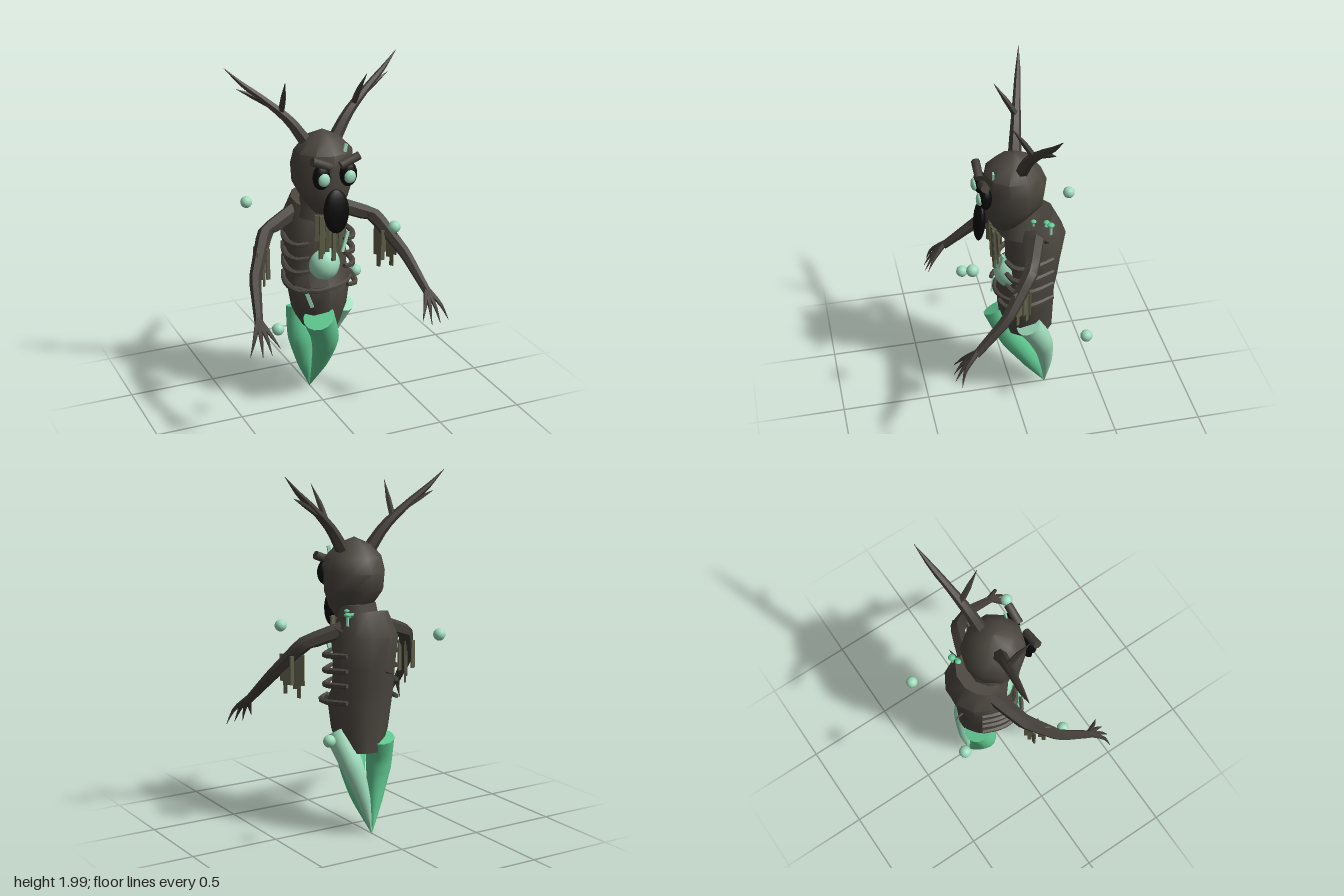
import * as THREE from 'three';
import { toCreasedNormals } from 'three/addons/utils/BufferGeometryUtils.js';

const mat = (name, color) => {
  const m = new THREE.MeshStandardMaterial({ color });
  m.name = name;
  return m;
};
const V = (p) => new THREE.Vector3(...p);

// Tapered limb along a curve, with closed ends; radii are spread evenly along it
function limb(points, radii, sides = 6, seg = 12, bent = true) {
  const pts = points.map(V);
  const curve = bent ? new THREE.CatmullRomCurve3(pts) : new THREE.CurvePath();
  if (!bent) for (let i = 1; i < pts.length; i++) curve.add(new THREE.LineCurve3(pts[i - 1], pts[i]));
  const g = new THREE.TubeGeometry(curve, seg, 1, sides);
  const pos = g.attributes.position, v = new THREE.Vector3();
  for (let i = 0; i <= seg; i++) {
    const u = THREE.MathUtils.clamp((i - 1) / (seg - 2), 0, 1);
    const f = u * (radii.length - 1), k = Math.min(Math.floor(f), radii.length - 2);
    const r = i === 0 || i === seg ? 0 : THREE.MathUtils.lerp(radii[k], radii[k + 1], f - k);
    const from = curve.getPointAt(i / seg), to = curve.getPointAt(u);
    for (let j = 0; j <= sides; j++) {
      const n = i * (sides + 1) + j;
      v.fromBufferAttribute(pos, n).sub(from).multiplyScalar(r).add(to);
      pos.setXYZ(n, v.x, v.y, v.z);
    }
  }
  return toCreasedNormals(g, 0.95);
}

// Closed body from elliptical sections, bottom to top: [y, centreX, centreZ, radiusX, radiusZ, backward rise]
function trunk(rings, sides) {
  const pos = [], idx = [];
  for (const [y, cx, cz, rx, rz, rise] of rings)
    for (let j = 0; j < sides; j++) {
      const a = (j / sides) * Math.PI * 2, c = Math.cos(a);
      pos.push(cx + Math.sin(a) * rx, y - c * rise, cz + c * rz);
    }
  for (let i = 0; i < rings.length - 1; i++)
    for (let j = 0; j < sides; j++) {
      const a = i * sides + j, b = i * sides + (j + 1) % sides;
      idx.push(a, b, b + sides, a, b + sides, a + sides);
    }
  const g = new THREE.BufferGeometry();
  g.setAttribute('position', new THREE.Float32BufferAttribute(pos, 3));
  g.setIndex(idx);
  return toCreasedNormals(g, 0.8);
}

export function createModel() {
  const root = new THREE.Group();
  root.name = 'forestSpirit';
  const bark = mat('bark', 0x4b463f), wood = mat('darkWood', 0x433e38);
  const black = mat('hollowBlack', 0x090909), moss = mat('moss', 0x5f5f4a);
  const mint = mat('paleGlow', 0x9fdcbc), green = mat('greenGlow', 0x62cc94);

  const add = (name, geo, m, p = [0, 0, 0], s = [1, 1, 1], r = [0, 0, 0]) => {
    const mesh = new THREE.Mesh(geo, m);
    mesh.name = name;
    mesh.position.set(...p);
    mesh.scale.set(...s);
    mesh.rotation.set(...r);
    root.add(mesh);
  };
  const ball = (w = 16, h = 12) => new THREE.SphereGeometry(1, w, h);

  // Torso with hollowed chest
  add('torso', trunk([
    [0.48, 0.015, -0.095, 0, 0, 0],
    [0.48, 0.015, -0.095, 0.115, 0.135, 0],
    [0.6, 0.005, -0.08, 0.16, 0.155, 0],
    [0.76, 0, -0.075, 0.185, 0.165, 0],
    [0.84, 0, -0.11, 0.18, 0.145, 0],
    [0.95, 0, -0.118, 0.18, 0.152, 0],
    [1.12, 0, -0.13, 0.185, 0.17, 0.01],
    [1.235, 0, -0.115, 0.14, 0.115, 0.035],
    [1.235, 0, -0.115, 0, 0, 0],
  ], 11), bark);
  add('neck', new THREE.CylinderGeometry(0.1, 0.13, 0.14, 9), bark, [0, 1.22, -0.05]);
  add('chestCore', ball(), mint, [0, 0.875, 0.005], [0.092, 0.1, 0.095]);

  // Head tapering to the jaw, and mouth
  add('head', trunk([
    [1.2, 0, 0.04, 0, 0, 0],
    [1.2, 0, 0.04, 0.075, 0.065, 0],
    [1.27, 0, 0.02, 0.125, 0.125, 0],
    [1.36, 0, -0.012, 0.168, 0.165, 0],
    [1.46, 0, -0.018, 0.172, 0.175, 0],
    [1.54, 0, -0.005, 0.16, 0.155, 0],
    [1.605, 0, -0.01, 0.095, 0.1, 0],
    [1.648, 0, -0.015, 0, 0, 0],
  ], 10), bark);
  add('mouth', ball(14, 10), black, [0, 1.24, 0.178], [0.075, 0.122, 0.03], [-0.1, 0, 0]);

  for (const s of [1, -1]) {
    const side = s > 0 ? 'left' : 'right';
    const mx = (pts) => pts.map(([x, y, z]) => [x * s, y, z]);

    add(side + 'EyeSocket', ball(14, 10), black, [s * 0.078, 1.437, 0.158], [0.05, 0.07, 0.035]);
    add(side + 'Eye', ball(12, 8), mint, [s * 0.075, 1.43, 0.188], [0.034, 0.037, 0.02]);
    add(side + 'Brow', limb(mx([[0.03, 1.492, 0.168], [0.136, 1.535, 0.168]]), [0.024, 0.024], 8, 4, false), wood);

    // Antler: main beam, upright tine and outer tine
    add(side + 'AntlerBeam', limb(mx([[0.08, 1.57, -0.035], [0.17, 1.7, -0.06], [0.3, 1.82, -0.095],
      [0.41, 1.91, -0.125], [0.5, 2, -0.148]]), [0.038, 0.03, 0.022, 0.017, 0.001]), wood);
    add(side + 'AntlerUprightTine', limb(mx([[0.212, 1.74, -0.075], [0.217, 1.82, -0.03], [0.234, 1.94, 0.045]]),
      [0.019, 0.015, 0.001], 5, 8), wood);
    add(side + 'AntlerOuterTine', limb(mx([[0.28, 1.8, -0.09], [0.35, 1.84, -0.11], [0.44, 1.885, -0.13]]),
      [0.02, 0.015, 0.001], 5, 8), wood);

    // Jointed arm and clawed hand
    add(side + 'Arm', limb(mx([[0.13, 1.165, -0.11], [0.33, 1.095, -0.035], [0.45, 0.9, 0.12], [0.5, 0.73, 0.3]]),
      [0.046, 0.042, 0.033, 0.023], 6, 16, false), wood);
    [[0.42, 0.61, 0.41], [0.472, 0.585, 0.42], [0.525, 0.583, 0.42], [0.587, 0.585, 0.395]].forEach((t, i) => {
      const knuckle = [0.5 + (t[0] - 0.5) * 0.6, 0.67, 0.37];
      add(side + 'Finger' + i, limb(mx([[0.5, 0.75, 0.29], knuckle, t]), [0.016, 0.012, 0.001], 5, 7), wood);
    });

    // Moss hanging along the arm, with two strips set across it
    [[0.335, -0.025, 0.17, 1], [0.348, -0.008, 0.24, 1], [0.361, 0.008, 0.19, 1], [0.385, 0.035, 0.17, 1],
      [0.398, 0.052, 0.22, 1], [0.41, 0.067, 0.15, 1], [0.395, -0.015, 0.16, 0], [0.345, 0.045, 0.18, 0]]
      .forEach(([x, z, h, along], i) => add(side + 'ArmMoss' + i, new THREE.BoxGeometry(0.022, h, 0.009), moss,
        [s * x, 1.03 - h / 2, z], [1, 1, 1], [0, -s * 0.9 * along, 0]));

    // Ribs curling round the chest
    [1.025, 0.94, 0.86, 0.765].forEach((y, i) => {
      const out = i === 3 ? 0.045 : 0;
      add(side + 'Rib' + i, limb(mx([[0.16, y + 0.01, -0.2], [0.19, y, -0.11], [0.194, y - 0.01, -0.04],
        [0.165, y - 0.015, 0.02 + out], [0.105, y - 0.002, 0.052 + out]]), [0.013, 0.016, 0.017, 0.017, 0.012], 6, 12), bark);
    });
  }
  add('waistRib', limb([[-0.17, 0.75, 0], [-0.09, 0.745, 0.075], [0, 0.755, 0.095], [0.09, 0.765, 0.075], [0.17, 0.77, 0]],
    [0.013, 0.013], 6, 14), bark);

  // Moss beard under the mouth
  for (let i = 0; i < 9; i++) {
    const h = 0.2 + 0.03 * ((i * 3) % 4) - 0.012 * Math.abs(i - 4);
    add('beardMoss' + i, new THREE.BoxGeometry(0.023, h, 0.012), moss,
      [-0.076 + i * 0.019, 1.2 - h / 2, 0.09 + 0.016 * (i % 2)], [1, 1, 1], [0.04, 0.25 * (i % 3 - 1), 0]);
  }

  // Spectral tail of three swirling horns meeting at a point
  const tail = [
    ['frontTail', green, [[-0.055, 0.58, 0.07], [0.01, 0.42, 0], [0.03, 0.24, -0.095], [0, 0.01, -0.2]], 0.09],
    ['leftTail', mint, [[0.145, 0.585, -0.065], [0.105, 0.42, -0.15], [0.055, 0.24, -0.19], [0, 0.01, -0.2]], 0.072],
    ['backTail', green, [[-0.07, 0.55, -0.175], [-0.085, 0.4, -0.14], [-0.06, 0.24, -0.15], [0, 0.01, -0.2]], 0.08],
  ];
  for (const [name, m, pts, r] of tail) add(name, limb(pts, [r, r * 0.88, r * 0.52, 0.002], 14, 20), m);

  // Floating orbs
  [[-0.3, 1.14, -0.4], [0.36, 0.63, -0.345], [-0.36, 0.63, 0.22], [0.3, 1.14, 0.275]].forEach((p, i) =>
    add('orb' + i, ball(12, 8), mint, p, [0.034, 0.034, 0.034]));

  // Glowing cracks
  const crack = new THREE.BoxGeometry(0.02, 1, 0.009);
  add('chestCrack', crack, mint, [0.098, 1.015, 0.08], [1, 0.12, 1], [0, 0.3, -0.35]);
  add('waistCrack', crack, mint, [-0.12, 0.705, 0.085], [1, 0.1, 1], [0, -0.5, 0.35]);
  add('headCrack', crack, mint, [0.078, 1.56, 0.115], [1, 0.06, 1], [0, 0, -0.2]);

  // Shoulder mushrooms
  [[0.11, 1.245, -0.17, 0.018], [0.147, 1.25, -0.185, 0.021], [0.125, 1.235, -0.165, 0.014], [0.1, 1.255, -0.1, 0.016]]
    .forEach(([x, y, z, r], i) => {
      add('mushroomStem' + i, new THREE.CylinderGeometry(r * 0.35, r * 0.4, 0.06, 6), mint, [x, y - 0.025, z]);
      add('mushroomCap' + i, ball(10, 6), green, [x, y + 0.005, z], [r, r * 0.6, r]);
    });

  // Twigs on the back
  [[[-0.05, 0.94, -0.25], [-0.065, 0.93, -0.31]], [[0.16, 1.16, -0.15], [0.215, 1.19, -0.16]]].forEach((p, i) =>
    add('twig' + i, limb(p, [0.012, 0.001], 5, 4, false), wood));

  return root;
}
